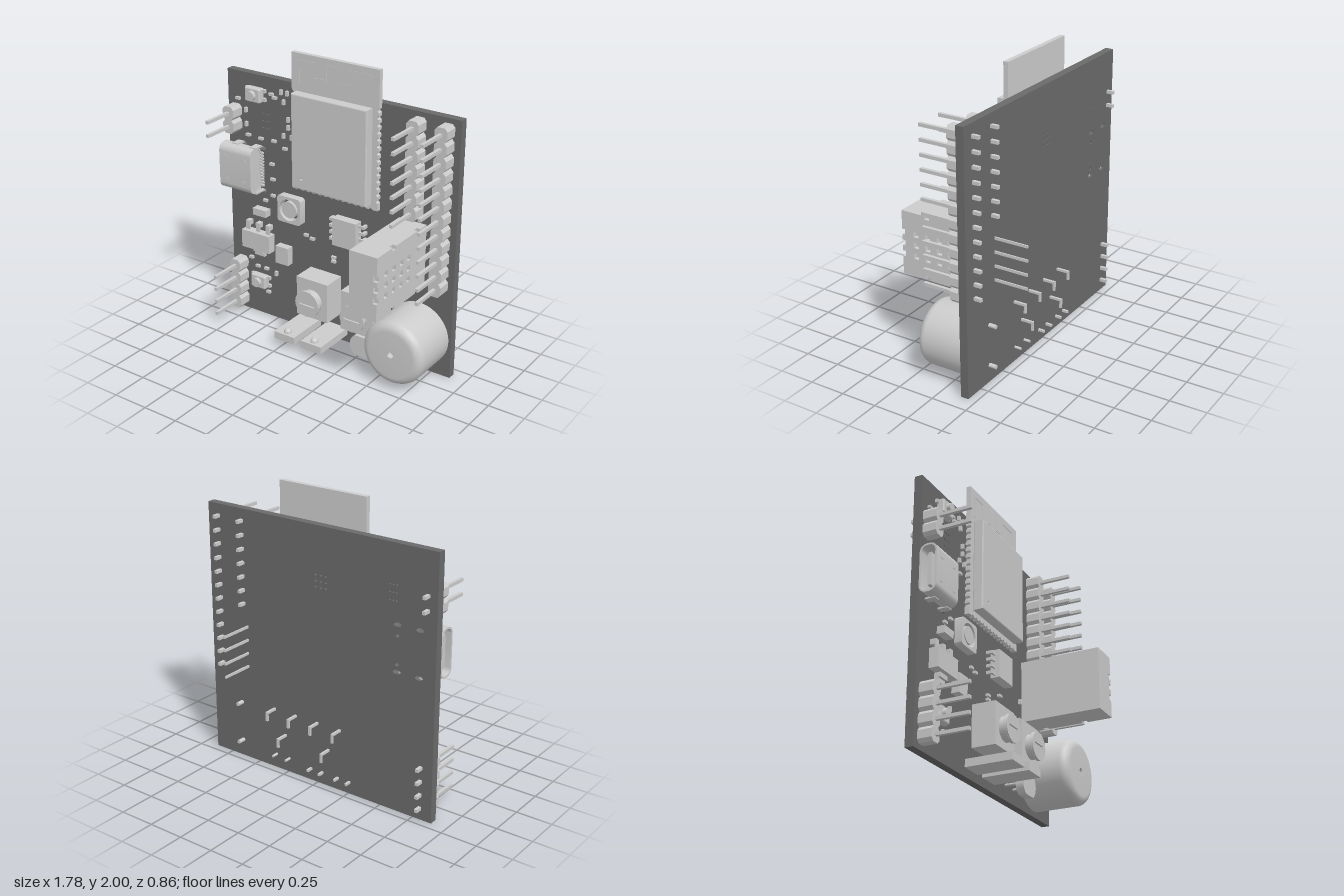
import * as THREE from 'three';
import { toCreasedNormals } from 'three/addons/utils/BufferGeometryUtils.js';
import { RoundedBoxGeometry } from 'three/addons/geometries/RoundedBoxGeometry.js';

const grey = new THREE.MeshStandardMaterial({ color: 0xcccccc });
const dark = new THREE.MeshStandardMaterial({ color: 0x6a6a6a });
const light = new THREE.MeshStandardMaterial({ color: 0xf2f2f2 });
const FRONT = -0.14, BACK = -0.195; // faces of the circuit board

export function createModel() {
  const root = new THREE.Group();
  const add = (name, geo, x = 0, y = 0, z = 0, mat = grey) => {
    const m = new THREE.Mesh(geo, mat);
    m.name = name;
    m.position.set(x, y, z);
    root.add(m);
    return m;
  };
  // box given by its limits
  const box = (name, x0, x1, y0, y1, z0, z1, mat) =>
    add(name, new THREE.BoxGeometry(x1 - x0, y1 - y0, z1 - z0), (x0 + x1) / 2, (y0 + y1) / 2, (z0 + z1) / 2, mat);
  // cylinder along z
  const disc = (name, x, y, z0, z1, r, mat) =>
    add(name, new THREE.CylinderGeometry(r, r, z1 - z0, 32).rotateX(Math.PI / 2), x, y, (z0 + z1) / 2, mat);
  const pin = (name, x, y, z0, z1, w = 0.022, h = w) =>
    box(name, x - w / 2, x + w / 2, y - h / 2, y + h / 2, z0, z1);
  const extrude = (shape, depth) =>
    toCreasedNormals(new THREE.ExtrudeGeometry(shape, { depth, bevelEnabled: false, curveSegments: 10 }), 0.6);
  const poly = pts => new THREE.Shape(pts.map(p => new THREE.Vector2(...p)));
  const rect = (x0, x1, y0, y1) => poly([[x0, y0], [x1, y0], [x1, y1], [x0, y1]]);
  const oval = (x, y, rx, ry) => new THREE.Path().absellipse(x, y, rx, ry, 0, Math.PI * 2);

  // circuit board with vias and connector slots
  const board = rect(-0.89, 0.89, 0, 1.78);
  for (let i = 0; i < 3; i++) for (let j = 0; j < 3; j++) {
    board.holes.push(oval(-0.07 + i * 0.04, 1.38 + j * 0.04, 0.008, 0.008));
    board.holes.push(oval(-0.6 + i * 0.024, 1.42 + j * 0.05, 0.006, 0.006));
  }
  for (const y of [0.96, 1.27]) for (const x of [-0.61, -0.77]) board.holes.push(oval(x, y, 0.03, 0.014));
  for (const y of [1.01, 1.2]) board.holes.push(oval(-0.61, y, 0.013, 0.013));
  add('circuitBoard', extrude(board, FRONT - BACK), 0, 0, BACK, dark);

  // radio module: scalloped carrier, shield can and antenna trace
  const carrier = new THREE.Shape();
  const R = 0.012, P = 0.047;
  carrier.moveTo(-0.333, 2).lineTo(-0.333, 1.78);
  for (let i = 13; i >= 0; i--) carrier.absarc(-0.333, 1.125 + i * P, R, Math.PI / 2, -Math.PI / 2, true);
  carrier.lineTo(-0.333, 1.06);
  for (let i = 0; i < 13; i++) carrier.absarc(-0.282 + i * P, 1.06, R, Math.PI, 0, true);
  carrier.lineTo(0.333, 1.06);
  for (let i = 0; i < 14; i++) carrier.absarc(0.333, 1.125 + i * P, R, -Math.PI / 2, -Math.PI * 1.5, true);
  carrier.lineTo(0.333, 2);
  add('moduleCarrier', extrude(carrier, 0.033), 0, 0, -0.137, light);
  const can = rect(-0.282, 0.282, 1.108, 1.742);
  can.holes.push(oval(-0.21, 1.175, 0.012, 0.012));
  add('shieldCan', new THREE.ExtrudeGeometry(can, { depth: 0.057, bevelSize: 0.008, bevelThickness: 0.008, bevelSegments: 2 }), 0, 0, -0.096, light);
  const trace = [[-0.28, 1.8], [-0.28, 1.95], [-0.16, 1.95], [-0.16, 1.85], [-0.07, 1.85], [-0.07, 1.95],
    [0.03, 1.95], [0.03, 1.85], [0.12, 1.85], [0.12, 1.95], [0.27, 1.95], [0.27, 1.83]];
  for (let i = 1; i < trace.length; i++) {
    const [a, b] = trace[i - 1], [c, d] = trace[i], w = 0.008;
    box('antennaTrace', Math.min(a, c) - w, Math.max(a, c) + w, Math.min(b, d) - w, Math.max(b, d) + w, -0.105, -0.102, light);
  }

  // pin headers: one chamfered block and one pin per position
  const c = 0.026, h = 0.0472, hx = 0.044;
  const block = extrude(poly([[-c, -h], [c, -h], [hx, -c], [hx, c], [c, h], [-c, h], [-hx, c], [-hx, -c]]), 0.095);
  for (const [x, top, n] of [[0.803, 1.7, 12], [0.606, 1.7, 7], [-0.823, 1.5, 2], [-0.805, 0.365, 4]])
    for (let i = 0; i < n; i++) {
      add('headerBlock', block, x, top - i * 0.0944, FRONT);
      pin('headerPin', x, top - i * 0.0944, -0.245, 0.175);
    }

  // side-facing connector: hollow rounded shell, back wall, tongue, tabs, contacts
  const roundRect = (S, w, t, r) => {
    const s = new S();
    s.absarc(w - r, t - r, r, 0, Math.PI / 2);
    s.absarc(-w + r, t - r, r, Math.PI / 2, Math.PI);
    s.absarc(-w + r, -t + r, r, Math.PI, Math.PI * 1.5);
    s.absarc(w - r, -t + r, r, Math.PI * 1.5, Math.PI * 2);
    s.closePath();
    return s;
  };
  const shell = roundRect(THREE.Shape, 0.06, 0.163, 0.05);
  shell.holes.push(roundRect(THREE.Path, 0.048, 0.151, 0.04));
  const uy = 1.118, uz = -0.08;
  add('connectorShell', extrude(shell, 0.265), -0.625, uy, uz, light).rotation.y = -Math.PI / 2;
  add('connectorBack', extrude(roundRect(THREE.Shape, 0.05, 0.153, 0.04), 0.07), -0.63, uy, uz).rotation.y = -Math.PI / 2;
  box('connectorTongue', -0.87, -0.69, uy - 0.11, uy + 0.11, uz - 0.012, uz + 0.012);
  for (const s of [-1, 1]) for (const x of [-0.79, -0.64]) {
    box('connectorTab', x - 0.025, x + 0.025, uy + s * 0.163 - 0.006, uy + s * 0.163 + 0.006, -0.18, -0.07, light);
    box('connectorLatch', x - 0.055, x - 0.025, uy + s * 0.08 - 0.009, uy + s * 0.08 + 0.009, uz + 0.059, uz + 0.063);
  }
  for (let i = 0; i < 12; i++) pin('connectorContact', -0.613, uy - 0.118 + i * 0.0215, FRONT, -0.125, 0.03, 0.012);

  // buzzer: rounded drum with sound hole
  const drum = [[0, 0], [0.222, 0]];
  for (let i = 0; i <= 8; i++) {
    const a = i / 8 * Math.PI / 2;
    drum.push([0.162 + 0.06 * Math.cos(a), 0.29 + 0.06 * Math.sin(a)]);
  }
  drum.push([0.022, 0.35], [0.022, 0.31], [0, 0.31]);
  const drumGeo = new THREE.LatheGeometry(drum.map(p => new THREE.Vector2(...p)), 48).rotateX(Math.PI / 2);
  add('buzzer', toCreasedNormals(drumGeo, 0.6), 0.648, 0.262, FRONT);
  for (const s of [-1, 1]) disc('buzzerPin', 0.648, 0.262 + s * 0.143, -0.245, FRONT, 0.014);

  // climate sensor: tall case with a grille on its +x side
  box('sensorCase', 0.477, 0.65, 0.61, 1.045, FRONT, 0.43);
  const rows = [0.75, 0.825, 0.9], g = 0.019;
  const edge = [[FRONT, 0.61]];
  for (const z of [-0.045, 0.24]) edge.push([z - g, 0.61], [z - g, 0.633], [z + g, 0.633], [z + g, 0.61]);
  edge.push([0.43, 0.61]);
  for (const y of rows) edge.push([0.43, y - g], [0.408, y - g], [0.408, y + g], [0.43, y + g]);
  edge.push([0.43, 1.045]);
  for (const z of [0.24, -0.045]) edge.push([z + g, 1.045], [z + g, 1.022], [z - g, 1.022], [z - g, 1.045]);
  edge.push([FRONT, 1.045]);
  const grille = poly(edge);
  for (const y of rows) for (const z of [0.325, 0.237, 0.15, 0.065]) grille.holes.push(rect(z - g, z + g, y - g, y + g));
  add('sensorGrille', extrude(grille, 0.027), 0.677, 0, 0).rotation.y = -Math.PI / 2;
  for (let i = 0; i < 4; i++) pin('sensorPin', 0.58, 0.972 - i * 0.0944, -0.43, FRONT, 0.009, 0.018);

  // trimmers: cube, slotted knob and bent legs behind the board
  for (const x of [-0.09, 0.27]) {
    const y = 0.338;
    box('trimmerBody', x - 0.125, x + 0.125, 0.205, 0.49, FRONT, 0.025);
    disc('trimmerNeck', x, y, 0.02, 0.07, 0.082);
    disc('trimmerFlange', x, y, 0.065, 0.075, 0.094);
    const s = 0.012, e = 0.06, a = Math.asin(s / 0.094);
    const knob = new THREE.Shape().absarc(0, 0, 0.094, 0, Math.PI * 2);
    knob.holes.push(rect(-e, e, -s, s));
    add('trimmerKnob', extrude(knob, 0.012), x, y, 0.075);
    for (const [dx, py] of [[-0.09, 0.435], [0.09, 0.435], [0, 0.265]]) {
      pin('trimmerLeg', x + dx, py, -0.285, FRONT, 0.016);
      box('trimmerLegBend', x + dx - 0.008, x + dx + 0.008, py - 0.057, py + 0.008, -0.285, -0.271);
    }
  }

  // infrared pair: flat cases lying over the lower edge with domes
  for (const x of [-0.212, 0.008]) {
    box('infraredCase', x - 0.082, x + 0.082, 0.058, 0.11, FRONT, 0.18);
    add('infraredDome', new THREE.SphereGeometry(0.028, 20, 14), x, 0.112, 0.135);
    for (const s of [-1, 1]) pin('infraredPin', x + s * 0.047, 0.084, -0.24, FRONT, 0.016);
  }

  // light sensor: disc with flattened sides on two leads
  const a = Math.asin(0.075 / 0.09);
  const cell = new THREE.Shape().absarc(0, 0, 0.09, -a, a).absarc(0, 0, 0.09, Math.PI - a, Math.PI + a);
  add('lightSensor', extrude(cell, 0.055), 0.295, 0.1, -0.05, light);
  for (const s of [-1, 1]) disc('lightSensorLead', 0.295 + s * 0.055, 0.1, -0.24, -0.05, 0.009);

  // eight-leg chip
  box('chipBody', 0.01, 0.195, 0.75, 0.945, -0.13, -0.065);
  for (let i = 0; i < 4; i++) for (const s of [-1, 1]) {
    const y = 0.775 + i * 0.047, x = 0.1025 + s * 0.105;
    pin('chipLeg', x, y, -0.108, -0.095, 0.035, 0.02);
    pin('chipFoot', x + s * 0.022, y, FRONT, -0.095, 0.02, 0.02);
  }

  // inductor with recessed round core
  const coil = roundRect(THREE.Shape, 0.095, 0.095, 0.02);
  coil.holes.push(oval(0, 0, 0.078, 0.078));
  add('inductor', extrude(coil, 0.055), -0.357, 0.894, FRONT);
  disc('inductorCore', -0.357, 0.894, FRONT, -0.088, 0.06);

  // regulator with three legs and a tab
  box('regulatorBody', -0.755, -0.52, 0.525, 0.655, -0.135, -0.07);
  for (let i = 0; i < 3; i++) {
    pin('regulatorLeg', -0.722 + i * 0.085, 0.67, -0.11, -0.098, 0.032, 0.05);
    pin('regulatorFoot', -0.722 + i * 0.085, 0.702, FRONT, -0.098, 0.032, 0.035);
  }
  box('regulatorTab', -0.68, -0.595, 0.465, 0.51, FRONT, -0.115);
  box('regulatorTabRoot', -0.68, -0.595, 0.495, 0.53, FRONT, -0.098);
  box('capacitor', -0.665, -0.555, 0.785, 0.835, FRONT, -0.085);
  box('crystal', -0.475, -0.37, 0.47, 0.6, FRONT, -0.085);

  // push buttons
  for (const [x, y] of [[-0.648, 1.65], [-0.638, 0.27]]) {
    add('buttonBody', new RoundedBoxGeometry(0.125, 0.1, 0.055, 2, 0.012), x, y, -0.1125);
    for (const s of [-1, 1]) for (const t of [-1, 1]) pin('buttonLeg', x + s * 0.067, y + t * 0.03, FRONT, -0.12, 0.03, 0.024);
    disc('buttonCap', x, y, -0.09, -0.06, 0.033);
  }

  // small surface parts, upright then lying
  const upright = [-0.44, 1.7, -0.39, 1.7, -0.42, 1.635, -0.735, 1.52, -0.735, 1.42, -0.385, 1.52, -0.385, 1.465,
    -0.425, 1.4, -0.36, 1.4, 0.437, 0.74, 0.42, 0.6, -0.505, 0.355];
  const lying = [-0.52, 1.67, -0.495, 1.65, -0.72, 1.345, -0.615, 1.34, -0.505, 1.345, -0.415, 1.31, -0.525, 1.175,
    -0.52, 1.065, -0.52, 0.945, -0.585, 0.895, -0.245, 0.725, -0.195, 0.71, -0.02, 0.62, -0.02, 0.59, 0.14, 0.675,
    0.335, 0.59, 0.325, 0.56, 0.4, 0.545, -0.72, 0.425, -0.775, 0.37, -0.665, 0.37, -0.59, 0.37, -0.575, 0.19, -0.8, 1.59];
  for (const [list, w, t] of [[upright, 0.018, 0.034], [lying, 0.034, 0.018]])
    for (let i = 0; i < list.length; i += 2) pin('smallPart', list[i], list[i + 1], FRONT, -0.12, w, t);

  return root;
}
